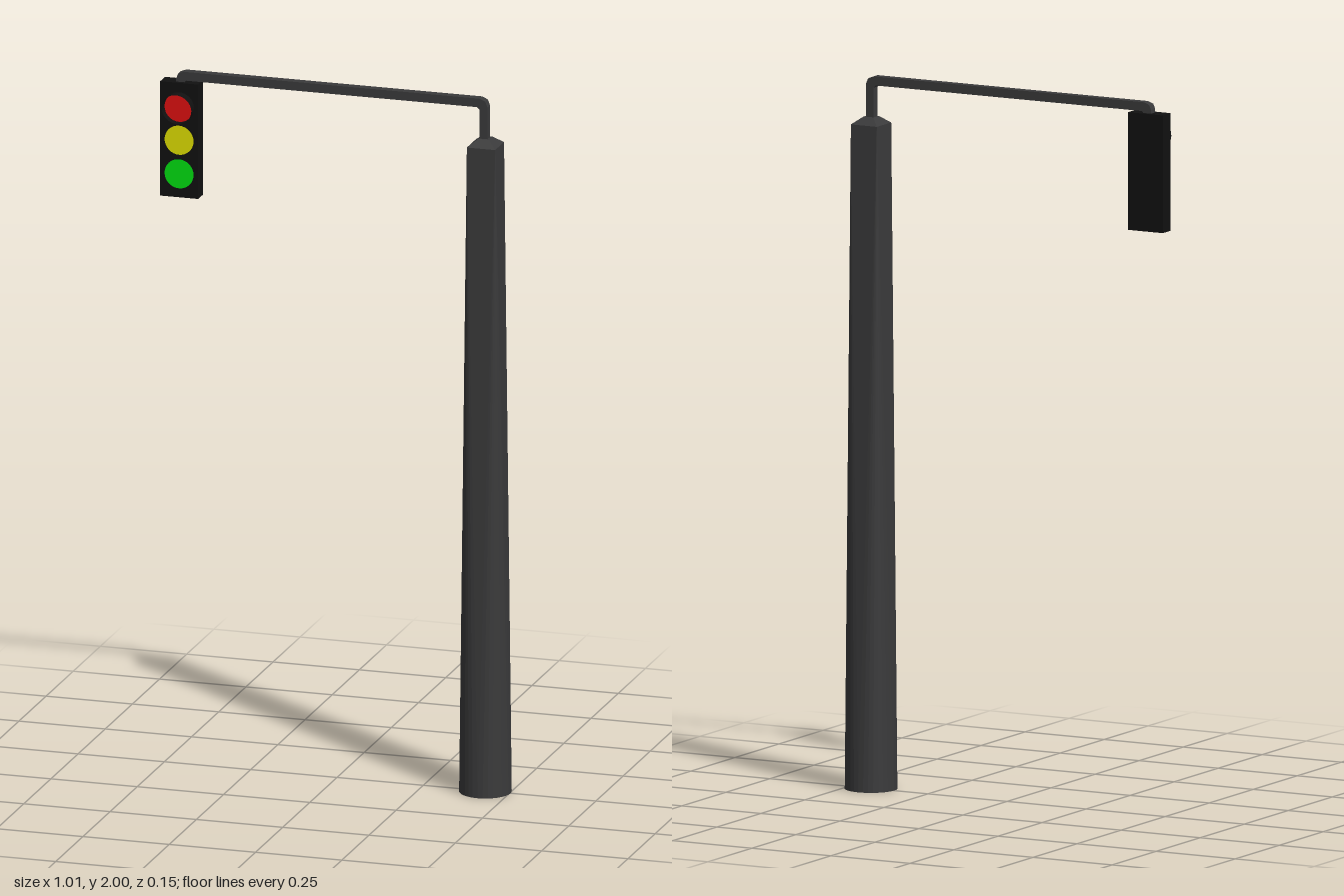
import * as THREE from 'three';
import { ConvexGeometry } from 'three/addons/geometries/ConvexGeometry.js';

const POLE_X = 0.43, HEAD_X = -0.45;

export function createModel() {
  const model = new THREE.Group();
  const mat = (color, extra = {}) => new THREE.MeshStandardMaterial({ color, ...extra });
  const steel = mat(0x3a3a3b, { flatShading: true });
  const black = mat(0x111111, { flatShading: true });

  const add = (name, geometry, material, x = 0, y = 0, z = 0, parent = model) => {
    const mesh = new THREE.Mesh(geometry, material);
    mesh.name = name;
    mesh.position.set(x, y, z);
    parent.add(mesh);
    return mesh;
  };

  // Pole: round foot blending into a square top with a pyramid shoulder
  const points = [];
  for (let i = 0; i < 32; i++) {
    const a = (i / 32) * Math.PI * 2;
    points.push(new THREE.Vector3(0.073 * Math.cos(a), 0, 0.073 * Math.sin(a)));
  }
  for (const [half, y] of [[0.041, 1.865], [0.016, 1.885]]) {
    for (const sx of [-1, 1]) for (const sz of [-1, 1]) {
      points.push(new THREE.Vector3(sx * half, y, sz * half));
    }
  }
  add('pole', new ConvexGeometry(points), steel, POLE_X);

  // Arm: square bar with bevelled elbows, bent down at both ends
  const bar = new THREE.Shape([
    [0.416, 1.875], [0.416, 1.968], [0.409, 1.975],
    [-0.433, 1.975], [-0.438, 1.97], [-0.438, 1.96],
    [-0.462, 1.96], [-0.462, 1.98], [-0.456, 1.994], [-0.44, 2],
    [0.416, 2], [0.433, 1.993], [0.44, 1.976], [0.44, 1.875],
  ].map(([x, y]) => new THREE.Vector2(x, y)));
  const arm = new THREE.ExtrudeGeometry(bar, { depth: 0.024, bevelEnabled: false });
  add('arm', arm, steel, 0, 0, -0.012);

  // Signal head with three lamps
  const head = new THREE.Group();
  head.name = 'signalHead';
  head.position.x = HEAD_X;
  model.add(head);
  add('housing', new THREE.BoxGeometry(0.11, 0.33, 0.044), black, 0, 1.805, 0, head);

  const lamps = [
    ['redLamp', 0xe01010, 1.9],
    ['yellowLamp', 0xe0e000, 1.805],
    ['greenLamp', 0x00e010, 1.708],
  ];
  for (const [name, color, y] of lamps) {
    add(name, new THREE.CircleGeometry(0.042, 32), mat(color), 0, y, 0.0235, head);
  }

  // Visor around the top lamp, its front edge leaning forward at the top
  const visor = new THREE.CylinderGeometry(0.043, 0.043, 0.032, 32, 1, true);
  visor.rotateX(Math.PI / 2);
  const p = visor.attributes.position;
  for (let i = 0; i < p.count; i++) {
    if (p.getZ(i) > 0) p.setZ(i, 0.0105 + 0.13 * p.getY(i));
  }
  visor.computeVertexNormals();
  add('visor', visor, mat(0x111111, { side: THREE.DoubleSide }), 0, 1.9, 0.037, head);

  return model;
}
